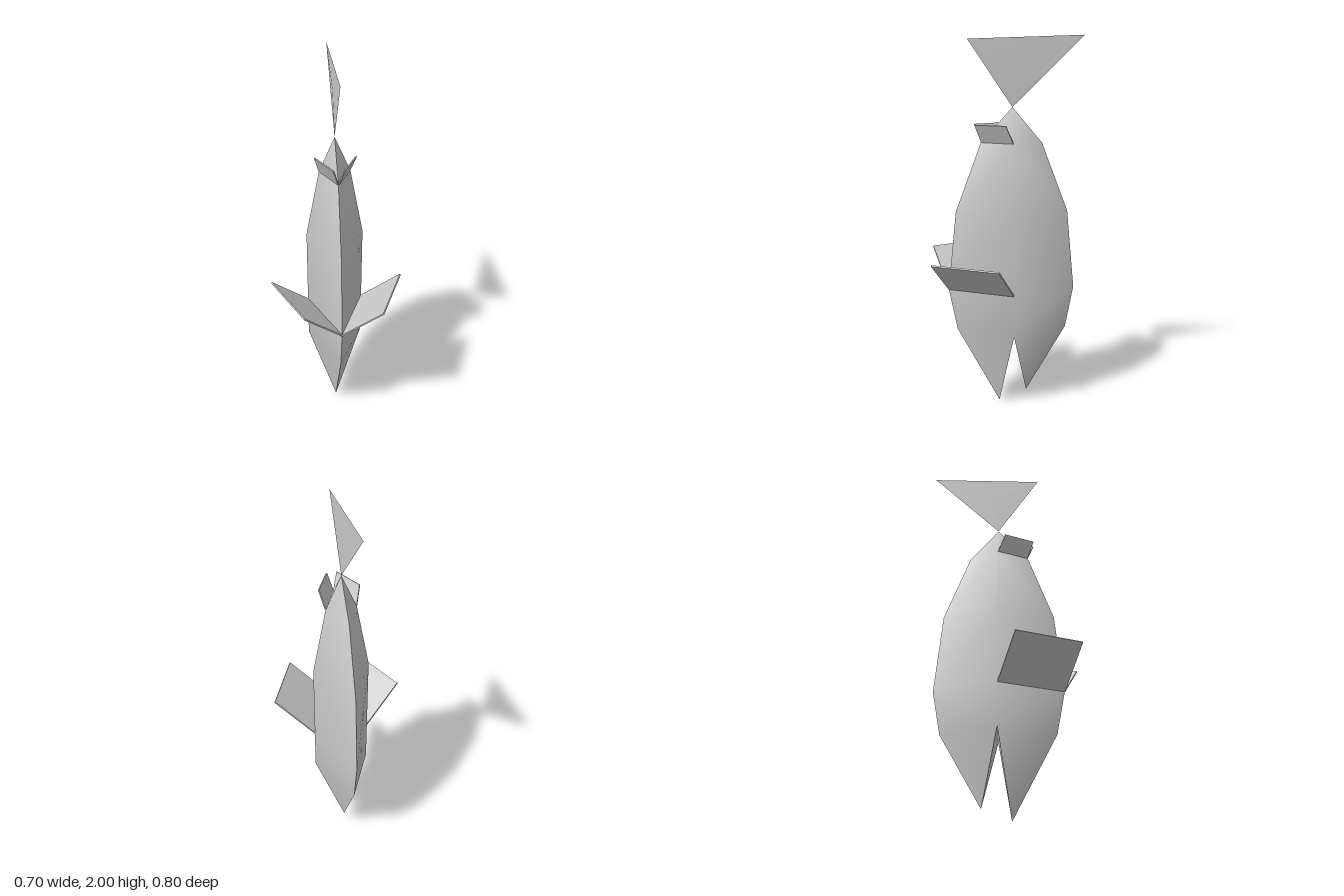
import * as THREE from 'three';
import { toCreasedNormals } from 'three/addons/utils/BufferGeometryUtils.js';

const grey = new THREE.MeshStandardMaterial({ color: 0xcccccc });

// Mesh from corner points and triangles, with edges sharper than the crease kept hard
function solid(name, points, faces, crease = 0.2) {
  const geo = new THREE.BufferGeometry();
  geo.setAttribute('position', new THREE.Float32BufferAttribute(points.flat(), 3));
  geo.setIndex(faces.flat());
  const mesh = new THREE.Mesh(toCreasedNormals(geo, crease), grey);
  mesh.name = name;
  return mesh;
}

// Diamond-section body: each ring holds front, left, back and right corners
function body() {
  const midZ = -0.03;
  const rings = [ // y, front z, back z, half width
    [0.432, 0.27, -0.325, 0.15],
    [0.662, 0.315, -0.367, 0.15],
    [1.09, 0.27, -0.325, 0.15],
    [1.455, 0.135, -0.185, 0.08],
  ];
  const points = [];
  const faces = [];
  for (const [y, front, back, w] of rings) {
    points.push([0, y, front], [w, y, midZ], [0, y, back], [-w, y, midZ]);
  }
  const tail = points.length;
  points.push([0, 1.638, midZ]);
  for (let r = 0; r < rings.length; r++) {
    for (let i = 0; i < 4; i++) {
      const a = r * 4 + i;
      const b = r * 4 + (i + 1) % 4;
      // Diagonals mirror left to right and keep the hull convex
      if (r === rings.length - 1) faces.push([a, b, tail]);
      else if ((i % 2 === 0) === (r > 0)) faces.push([a, b, b + 4], [a, b + 4, a + 4]);
      else faces.push([a, b, a + 4], [b, b + 4, a + 4]);
    }
  }
  // Two pointed jaws below the mouth corners
  const jawA = tail + 1;
  const jawB = tail + 2;
  points.push([0, 0, 0.04], [0, 0.06, -0.11]);
  faces.push([jawA, 1, 0], [jawA, 0, 3], [jawA, 3, 1]);
  faces.push([jawB, 2, 1], [jawB, 3, 2], [jawB, 1, 3]);
  return solid('body', points, faces, 1.0);
}

// Thin four-cornered plate, thickened along its normal; side is +1 for left, -1 for right
function fin(name, corners, side, thickness) {
  const [a, b, , d] = corners.map((c) => new THREE.Vector3(...c));
  const normal = b.sub(a).cross(d.sub(a)).normalize();
  const layer = (t) => corners.map(([x, y, z]) => [
    (x + normal.x * t) * side, y + normal.y * t, z + normal.z * t,
  ]);
  const points = [...layer(-thickness / 2), ...layer(thickness / 2)];
  let faces = [[0, 2, 1], [0, 3, 2], [4, 5, 6], [4, 6, 7]];
  for (let i = 0; i < 4; i++) {
    const j = (i + 1) % 4;
    faces.push([i, j, j + 4], [i, j + 4, i + 4]);
  }
  if (side < 0) faces = faces.map(([p, q, r]) => [p, r, q]);
  return solid(name, points, faces);
}

// Flat triangular tail, slightly thicker at its middle
function tailFin() {
  const points = [
    [0, 1.638, -0.03], [0, 2.0, -0.4], [0, 1.98, 0.2],
    [0.005, 1.86, -0.075], [-0.005, 1.86, -0.075],
  ];
  const faces = [];
  for (let i = 0; i < 3; i++) {
    const j = (i + 1) % 3;
    faces.push([i, j, 3], [j, i, 4]);
  }
  return solid('tailFin', points, faces);
}

export function createModel() {
  const group = new THREE.Group();
  group.name = 'fish';
  group.add(body(), tailFin());

  const large = [[0, 0.662, 0.315], [0.15, 0.662, -0.03], [0.35, 0.852, 0.06], [0.2, 0.852, 0.4]];
  const small = [[0, 1.457, 0.132], [0.08, 1.457, -0.03], [0.105, 1.55, 0.01], [0.027, 1.55, 0.167]];
  for (const [label, side] of [['left', 1], ['right', -1]]) {
    group.add(fin(label + 'SideFin', large, side, 0.008));
    group.add(fin(label + 'RearFin', small, side, 0.006));
  }
  return group;
}
